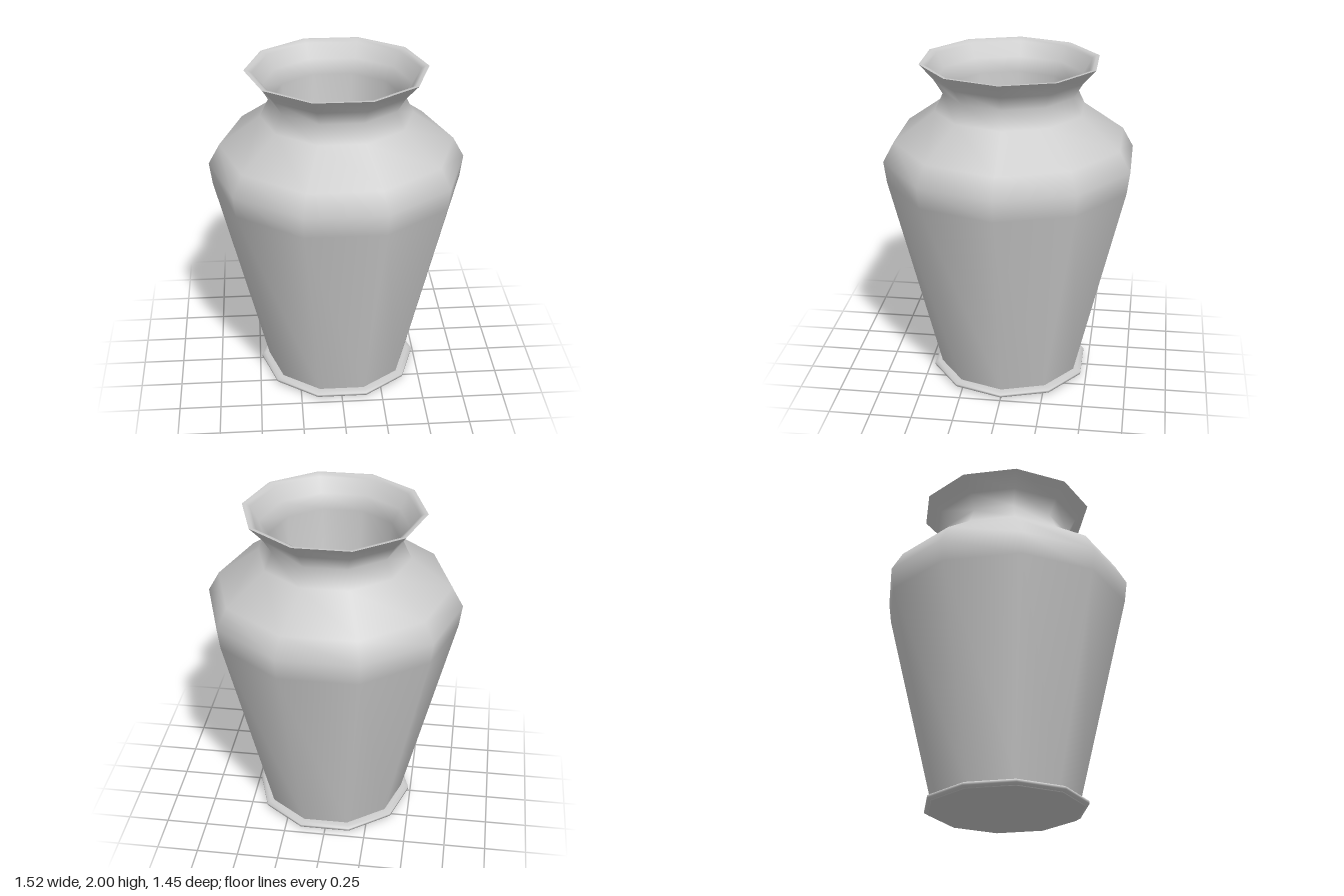
import * as THREE from 'three';

const SIDES = 10;

// Ten-sided turned part with a corner on the x axis; pairs are [radius, height]
function turned(name, profile, material) {
  const points = profile.map(([r, y]) => new THREE.Vector2(r, y));
  const geometry = new THREE.LatheGeometry(points, SIDES, Math.PI / 2);
  const mesh = new THREE.Mesh(geometry, material);
  mesh.name = name;
  return mesh;
}

export function createModel() {
  const group = new THREE.Group();
  group.name = 'vase';
  const grey = new THREE.MeshStandardMaterial({ color: 0xcccccc });

  // Tapered wall, shoulder, neck and flared mouth
  group.add(turned('body', [
    [0.44, 0.04], [0.745, 1.29], [0.762, 1.42], [0.695, 1.54],
    [0.45, 1.715], [0.4, 1.82], [0.455, 1.91], [0.535, 2],
  ], grey));

  // Thin lip rolling into the hollow, down to the inner floor
  group.add(turned('inside', [
    [0.535, 2], [0.515, 2], [0.49, 1.985], [0.44, 1.9],
    [0.385, 1.82], [0.3, 0.1], [0, 0.1],
  ], grey));

  // Small rounded foot ring
  group.add(turned('foot', [
    [0.465, 0.005], [0.488, 0.015], [0.488, 0.03], [0.465, 0.04], [0.435, 0.042],
  ], grey));

  // Flat underside
  group.add(turned('base', [[0, 0], [0.462, 0], [0.465, 0.005]], grey));

  return group;
}
